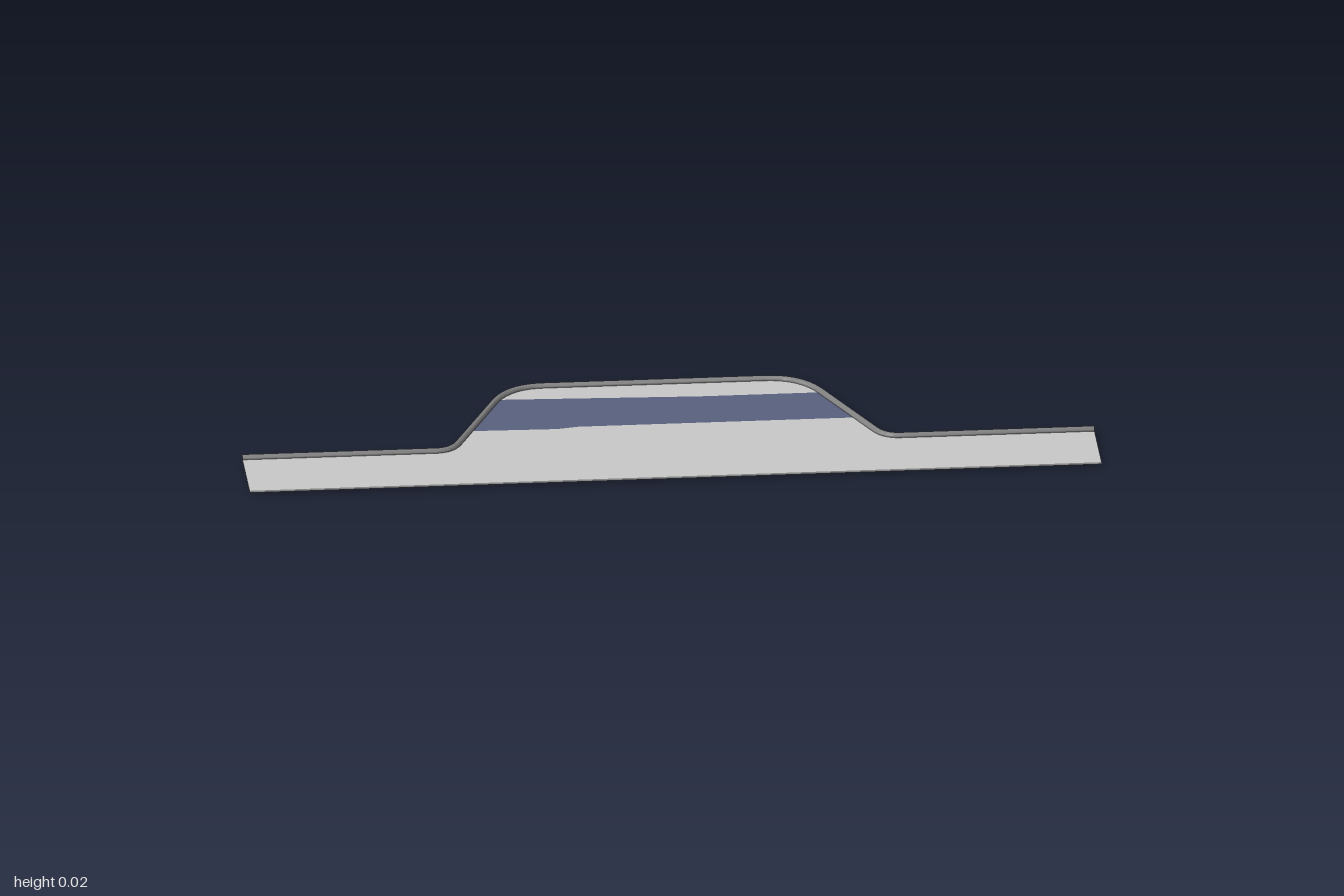
import * as THREE from 'three';
import { toCreasedNormals } from 'three/addons/utils/BufferGeometryUtils.js';

const SURFACE_Y = 0.007;
const V = (x, z) => new THREE.Vector2(x, z);

const mat = (name, color, side = THREE.FrontSide) => {
  const m = new THREE.MeshStandardMaterial({ color, side });
  m.name = name;
  return m;
};

// Outer edge of the kerb in x/z, from the left-hand end round the bay to the other end
function kerbPath() {
  const curve = (a, b, c) => new THREE.QuadraticBezierCurve(a, b, c).getPoints(10);
  const half = [
    V(1, 0.08),
    ...curve(V(0.545, 0.08), V(0.5115, 0.08), V(0.495, 0.042)),
    ...curve(V(0.39, -0.2), V(0.349, -0.295), V(0.26, -0.295)),
  ];
  return [...half.map(p => V(-p.x, p.y)), ...half.slice().reverse()];
}

// Unit normals of the path, pointing towards the road
function pathNormals(path) {
  return path.map((p, i) => {
    const a = path[Math.max(i - 1, 0)], b = path[Math.min(i + 1, path.length - 1)];
    const t = b.clone().sub(a).normalize();
    return V(-t.y, t.x);
  });
}

// Sweep a closed profile of [offset, height] pairs along the path
function sweep(path, normals, profile) {
  const pos = [], idx = [], n = profile.length;
  path.forEach((p, i) => profile.forEach(([d, y]) =>
    pos.push(p.x + normals[i].x * d, y, p.y + normals[i].y * d)));
  for (let i = 0; i < path.length - 1; i++) {
    for (let j = 0; j < n; j++) {
      const a = i * n + j, b = i * n + (j + 1) % n;
      idx.push(a, b, a + n, b, b + n, a + n);
    }
  }
  // end caps
  const last = (path.length - 1) * n;
  for (let j = 1; j < n - 1; j++) {
    idx.push(0, j + 1, j, last, last + j, last + j + 1);
  }
  const g = new THREE.BufferGeometry();
  g.setAttribute('position', new THREE.Float32BufferAttribute(pos, 3));
  g.setIndex(idx);
  return toCreasedNormals(g, 0.7);
}

export function createModel() {
  const group = new THREE.Group();
  const asphalt = mat('light grey asphalt', 0xc9c9c9, THREE.DoubleSide);
  const paving = mat('blue paving', 0x59617f, THREE.DoubleSide);
  const stone = mat('grey kerb stone', 0x808080, THREE.DoubleSide);

  const add = (name, geometry, material) => {
    const m = new THREE.Mesh(geometry, material);
    m.name = name;
    group.add(m);
  };
  // Flat polygon given in x/z
  const flat = (name, points, material) => {
    const g = new THREE.ShapeGeometry(new THREE.Shape(points.map(p => V(p.x, -p.y))));
    g.rotateX(-Math.PI / 2).translate(0, SURFACE_Y, 0);
    add(name, g, material);
  };

  // Raised kerb with a rounded road-side edge
  const path = kerbPath(), normals = pathNormals(path);
  add('kerb', sweep(path, normals, [
    [0, 0], [0, 0.014], [0.002, 0.016], [0.008, 0.016],
    [0.011, 0.0145], [0.013, 0.011], [0.0135, SURFACE_Y], [0.011, 0.002],
  ]), stone);

  // Ground surfaces reach under the kerb
  const rim = path.map((p, i) => p.clone().addScaledVector(normals[i], 0.005));
  const side = z => 0.385 + 0.434 * (z + 0.2);
  const backLine = [V(-side(-0.22), -0.22), V(0.1, -0.2), V(side(-0.2), -0.2)];
  const frontLine = [V(-side(-0.035), -0.035), V(-0.25, -0.03), V(-0.2, -0.04), V(side(-0.04), -0.04)];

  flat('road', [
    ...rim.filter(p => p.x < 0 && p.y > -0.03),
    ...frontLine,
    ...rim.filter(p => p.x > 0 && p.y > -0.03),
    V(1, 0.283), V(-1, 0.283),
  ], asphalt);
  flat('bayPaving', [...backLine, ...frontLine.slice().reverse()], paving);
  flat('bayBack', [
    ...rim.filter(p => p.y < (p.x < 0 ? -0.221 : -0.201)),
    ...backLine.slice().reverse(),
  ], asphalt);

  // Flush edging strip along the front
  flat('frontEdging', [V(-1, 0.283), V(1, 0.283), V(1, 0.295), V(-1, 0.295)], stone);

  return group;
}
